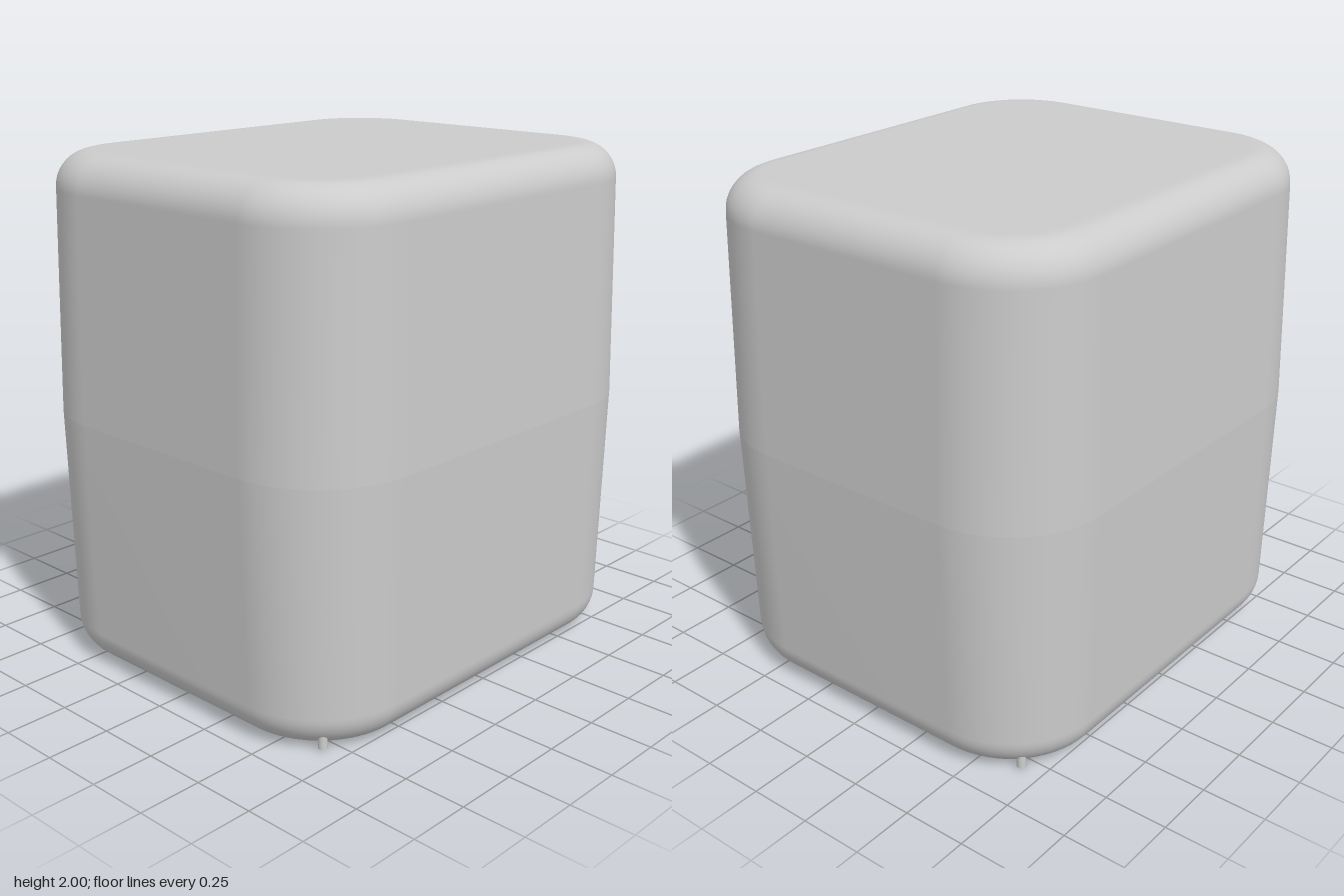
import * as THREE from 'three';

const material = new THREE.MeshStandardMaterial({ color: 0xcccccc });

// Half size of the waist outline and its corner radius
const HALF_X = 0.965, HALF_Z = 0.82, CORNER = 0.4;
const CORNER_STEPS = 16;

// Rounded rectangle in x/z, moved inwards by the given inset
function outline(inset) {
  const points = [];
  const r = CORNER - inset;
  const signs = [[1, 1], [-1, 1], [-1, -1], [1, -1]];
  signs.forEach(([sx, sz], q) => {
    for (let i = 0; i <= CORNER_STEPS; i++) {
      const a = (q + i / CORNER_STEPS) * Math.PI / 2;
      points.push([
        sx * (HALF_X - CORNER) + r * Math.cos(a),
        sz * (HALF_Z - CORNER) + r * Math.sin(a),
      ]);
    }
  });
  return points;
}

// Half shell from the waist to a rounded, flat end; dir is 1 for up, -1 for down
function halfShell(dir) {
  const taper = 0.02, edge = 0.135, steps = 10;
  const profile = [[0, 0], [taper, 1 - edge]];
  for (let i = 1; i <= steps; i++) {
    const a = i / steps * Math.PI / 2;
    profile.push([taper + edge * (1 - Math.cos(a)), 1 - edge * (1 - Math.sin(a))]);
  }
  profile.push([taper + edge + 0.02, 1]);

  const positions = [], index = [];
  const n = outline(0).length;
  for (const [inset, h] of profile) {
    for (const [x, z] of outline(inset)) positions.push(x, 1 + dir * h, z);
  }
  const face = (a, b, c) => index.push(...(dir > 0 ? [a, b, c] : [a, c, b]));
  for (let i = 0; i < profile.length - 1; i++) {
    for (let j = 0; j < n; j++) {
      const k = (j + 1) % n;
      const a = i * n + j, b = i * n + k;
      face(a, a + n, b);
      face(b, a + n, b + n);
    }
  }
  // Flat end
  const last = (profile.length - 1) * n;
  positions.push(0, 1 + dir, 0);
  for (let j = 0; j < n; j++) face(last + j, profile.length * n, last + (j + 1) % n);

  const geometry = new THREE.BufferGeometry();
  geometry.setAttribute('position', new THREE.Float32BufferAttribute(positions, 3));
  geometry.setIndex(index);
  geometry.computeVertexNormals();
  return geometry;
}

export function createModel() {
  const model = new THREE.Group();
  const add = (name, geometry, x = 0, y = 0, z = 0) => {
    const mesh = new THREE.Mesh(geometry, material);
    mesh.name = name;
    mesh.position.set(x, y, z);
    model.add(mesh);
  };

  // Padded body, in two halves that meet in a crease at the waist
  add('upperBody', halfShell(1));
  add('lowerBody', halfShell(-1));

  // Small pegs under the four rounded corners
  const peg = new THREE.CylinderGeometry(0.015, 0.018, 0.09, 16);
  for (const sx of [1, -1]) {
    for (const sz of [1, -1]) add('foot', peg, sx * 0.805, 0.052, sz * 0.66);
  }
  return model;
}
